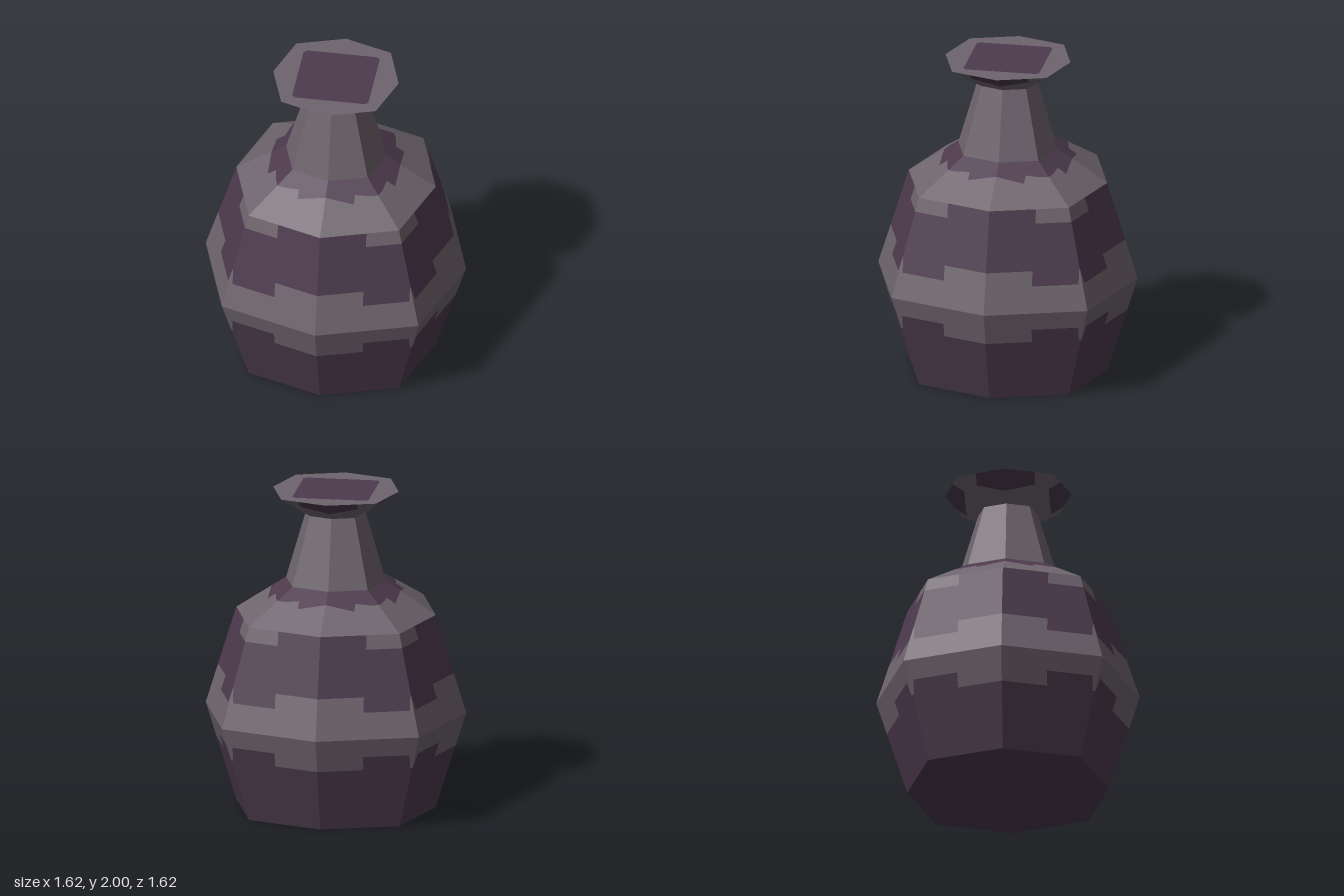
import * as THREE from 'three';

const stone = new THREE.MeshStandardMaterial({ color: 0x6e646d });
stone.name = 'warm grey';
const plum = new THREE.MeshStandardMaterial({ color: 0x4d3a4d });
plum.name = 'dark plum';
const paints = { G: stone, P: plum };

const DIAG = 0.755;   // corner coordinate of the octagon relative to its axis radius
const SLOPE = 1 / DIAG - 1;

// Profile of the pot: [height, axis radius]
const profile = [[0, 0.62], [0.61, 0.81], [1.225, 0.62], [1.43, 0.31], [1.86, 0.185], [2, 0.39]];

function radiusAt(y) {
  for (let i = 1; i < profile.length; i++) {
    const [y0, r0] = profile[i - 1], [y1, r1] = profile[i];
    if (y <= y1) return r0 + (r1 - r0) * (y - y0) / (y1 - y0);
  }
  return profile[profile.length - 1][1];
}

// Point on one eighth of the wall: sideways distance t, clamped to the corner edge
function wallPoint(t, y) {
  const r = radiusAt(y);
  const x = Math.min(t, DIAG * r);
  return new THREE.Vector3(x, y, r - SLOPE * x);
}

// Cells are [colour, t0, t1, bottom at t0, bottom at t1, top at t0, top at t1],
// repeated on all eight facets by mirroring and quarter turns.
function band(name, cells) {
  const group = new THREE.Group();
  group.name = name;
  for (const key of ['G', 'P']) {
    const pos = [];
    for (const [colour, t0, t1, b0, b1, u0, u1] of cells) {
      if (colour !== key) continue;
      const quad = [wallPoint(t0, b0), wallPoint(t1, b1), wallPoint(t1, u1), wallPoint(t0, u0)];
      for (let k = 0; k < 4; k++) {
        for (const side of [1, -1]) {
          const c = quad.map((p) => new THREE.Vector3(p.x * side, p.y, p.z)
            .applyAxisAngle(new THREE.Vector3(0, 1, 0), k * Math.PI / 2));
          if (side < 0) c.reverse();
          for (const tri of [[0, 1, 2], [0, 2, 3]]) {
            const [p, q, s] = tri.map((i) => c[i]);
            const area = q.clone().sub(p).cross(s.clone().sub(p)).length();
            if (area < 1e-7) continue;
            for (const v of [p, q, s]) pos.push(v.x, v.y, v.z);
          }
        }
      }
    }
    if (!pos.length) continue;
    const geo = new THREE.BufferGeometry();
    geo.setAttribute('position', new THREE.Float32BufferAttribute(pos, 3));
    geo.computeVertexNormals();
    const mesh = new THREE.Mesh(geo, paints[key]);
    mesh.name = name + (key === 'G' ? 'Grey' : 'Plum');
    group.add(mesh);
  }
  return group;
}

// Straight row of blocks: one colour letter per column
const columns = [0, 0.275, 0.55, 1];
const row = (y0, y1, colours) => [...colours].map((c, i) =>
  [c, columns[i], columns[i + 1], y0, y0, y1, y1]);

function octagon(r) {
  const d = r * DIAG;
  return [[r, 0], [d, d], [0, r], [-d, d], [-r, 0], [-d, -d], [0, -r], [d, -d]]
    .map(([x, y]) => new THREE.Vector2(x, y));
}

function roundedSquare(h, c) {
  return [[h, c - h], [h, h - c], [h - c, h], [c - h, h], [-h, h - c], [-h, c - h], [c - h, -h], [h - c, -h]]
    .map(([x, y]) => new THREE.Vector2(x, y));
}

function flatPlate(name, shape, material, y, up) {
  const geo = new THREE.ShapeGeometry(shape);
  geo.rotateX(up ? -Math.PI / 2 : Math.PI / 2);
  geo.translate(0, y, 0);
  const mesh = new THREE.Mesh(geo, material);
  mesh.name = name;
  return mesh;
}

export function createModel() {
  const model = new THREE.Group();
  model.name = 'pot';

  // Belly with a stepped grey belt
  model.add(band('lowerBelly', [
    ...row(0, 0.4, 'PPP'), ...row(0.4, 0.49, 'GPG'), ...row(0.49, 0.61, 'GGG'),
  ]));
  model.add(band('upperBelly', [
    ...row(0.61, 0.77, 'GGG'), ...row(0.77, 0.86, 'GPG'),
    ...row(0.86, 1.14, 'PPP'), ...row(1.14, 1.225, 'PGG'),
  ]));

  // Shoulder with a ragged plum collar around the neck
  const collar = [[0, 0.175, 1.37, 1.335], [0.175, 0.265, 1.37, 1.36], [0.265, 1, 1.36, 1.36]];
  model.add(band('shoulder', collar.flatMap(([t0, t1, a, b]) => [
    ['G', t0, t1, 1.225, 1.225, a, b],
    ['P', t0, t1, a, b, 1.43, 1.43],
  ])));

  // Neck and flared lip
  model.add(band('neck', row(1.43, 1.86, 'G')
    .concat([['G', 0.275, 1, 1.43, 1.43, 1.86, 1.86]])));
  model.add(band('lip', [
    ['G', 0, 0.18, 1.86, 1.86, 1.911, 1.951],
    ['P', 0, 0.18, 1.911, 1.951, 2, 2],
    ['G', 0.18, 1, 1.86, 1.86, 1.951, 1.951],
    ['G', 0.18, 1, 1.951, 1.951, 2, 2],
  ]));

  // Closed top with a plum square, and the flat base
  const square = roundedSquare(0.237, 0.02);
  const rim = new THREE.Shape(octagon(0.39));
  rim.holes.push(new THREE.Path(square));
  model.add(flatPlate('topRim', rim, stone, 2, true));
  model.add(flatPlate('topSquare', new THREE.Shape(square), plum, 2, true));
  model.add(flatPlate('base', new THREE.Shape(octagon(0.62)), plum, 0, false));
  return model;
}
